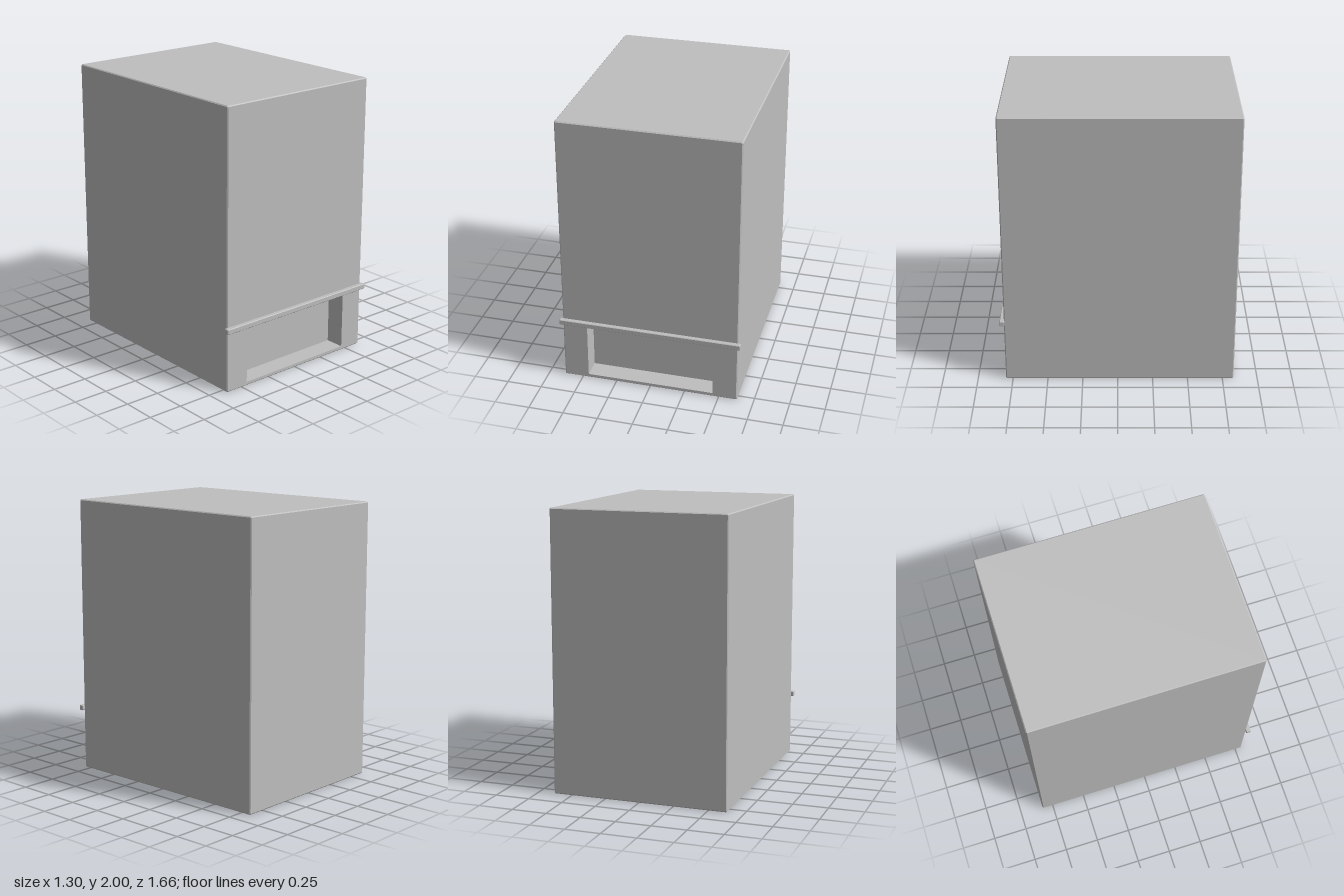
import * as THREE from 'three';

// Counter-clockwise rectangle with chamfered corners at depth z
function ring(x, y0, y1, c, z) {
  return [
    [x, y0 + c], [x, y1 - c], [x - c, y1], [-x + c, y1],
    [-x, y1 - c], [-x, y0 + c], [-x + c, y0], [x - c, y0],
  ].map(([px, py]) => new THREE.Vector3(px, py, z));
}

// Skin a series of rings from back to front and cap both ends
function loft(rings) {
  const pts = [];
  const tri = (a, b, c) => {
    if (new THREE.Triangle(a, b, c).getArea() > 1e-9) pts.push(a, b, c);
  };
  for (let r = 0; r < rings.length - 1; r++) {
    const a = rings[r], b = rings[r + 1];
    for (let i = 0; i < a.length; i++) {
      const j = (i + 1) % a.length;
      tri(a[i], a[j], b[j]);
      tri(a[i], b[j], b[i]);
    }
  }
  const first = rings[0], last = rings[rings.length - 1];
  for (let i = 1; i < first.length - 1; i++) {
    tri(first[0], first[i + 1], first[i]);
    tri(last[0], last[i], last[i + 1]);
  }
  const geo = new THREE.BufferGeometry().setFromPoints(pts);
  geo.computeVertexNormals();
  return geo;
}

// Rings of a block with every edge chamfered by c
function block(x, y0, y1, z0, z1, c) {
  return [
    ring(x - c, y0 + c, y1 - c, c / 2, z0),
    ring(x, y0, y1, c, z0 + c),
    ring(x, y0, y1, c, z1 - c),
    ring(x - c, y0 + c, y1 - c, c / 2, z1),
  ];
}

export function createModel() {
  const group = new THREE.Group();
  const grey = new THREE.MeshStandardMaterial({ color: 0xbfbfbf });
  grey.name = 'plain grey';

  // Tall body, folding inward at the front to form the opening
  const body = new THREE.Mesh(loft([
    ...block(0.633, 0, 2, -0.83, 0.8, 0.007),
    ring(0.457, 0.027, 0.437, 0, 0.8),
    ring(0.457, 0.027, 0.437, 0, 0.66),
  ]), grey);
  body.name = 'bodyWithOpening';

  // Narrow ledge above the opening
  const ledge = new THREE.Mesh(loft(block(0.652, 0.438, 0.476, 0.795, 0.83, 0.004)), grey);
  ledge.name = 'ledge';

  group.add(body, ledge);
  return group;
}
